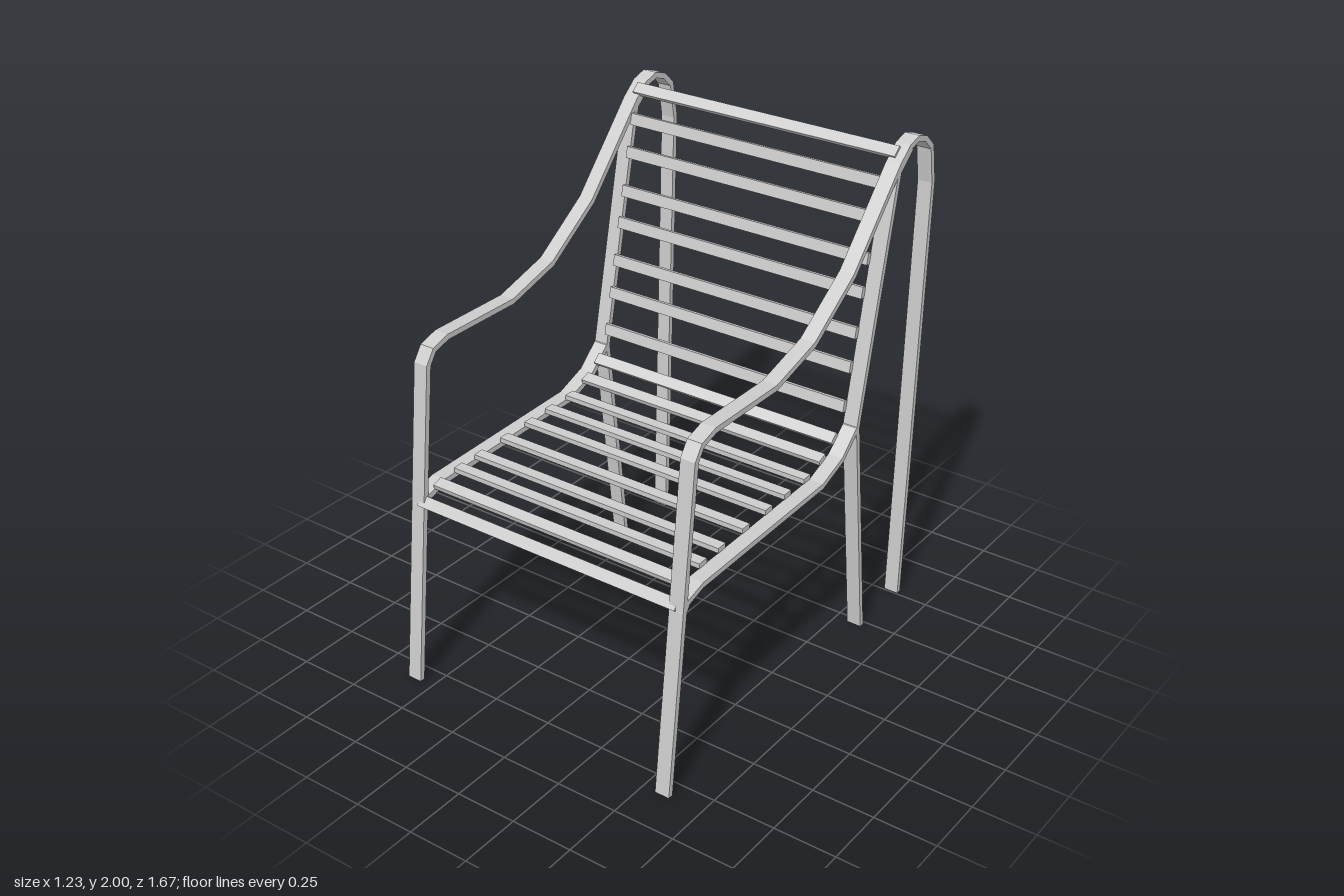
import * as THREE from 'three';

const THICK = 0.022, WIDTH = 0.06, RAIL_X = 0.585;
const material = new THREE.MeshStandardMaterial({ color: 0xcccccc });

// Side profiles as [z, y] centre lines
const framePath = [[0.825, 0], [0.68, 1.29], [0.645, 1.34], [0.57, 1.363], [0.205, 1.363], [-0.035, 1.43],
  [-0.285, 1.6], [-0.575, 1.92], [-0.637, 1.972], [-0.695, 1.989], [-0.75, 1.972], [-0.80, 1.925],
  [-0.825, 1.78], [-0.767, 0]];
const railPath = [[0.745, 0.73], [0.72, 0.765], [0.635, 0.79], [-0.13, 0.81], [-0.265, 0.86],
  [-0.365, 0.95], [-0.57, 1.9], [-0.648, 1.967]];
const rearLegPath = [[-0.363, 0.955], [-0.475, 0]];

// Flat bar bent along a path, with mitred corners
function bentBar(path) {
  const pts = path.map(([z, y]) => new THREE.Vector2(z, y));
  const left = [], right = [];
  pts.forEach((p, i) => {
    const a = p.clone().sub(pts[Math.max(i - 1, 0)]).normalize();
    const b = pts[Math.min(i + 1, pts.length - 1)].clone().sub(p).normalize();
    const t = a.clone().add(b).normalize();
    const n = new THREE.Vector2(-t.y, t.x);
    const ref = i ? a : b;
    const miter = THICK / 2 / (n.x * -ref.y + n.y * ref.x);
    for (const [side, s] of [[left, 1], [right, -1]]) {
      const q = p.clone().addScaledVector(n, s * miter);
      if (p.y === 0) q.y = 0; // feet are cut level with the floor
      side.push(q);
    }
  });
  const shape = new THREE.Shape([...left, ...right.reverse()]);
  const geo = new THREE.ExtrudeGeometry(shape, { depth: WIDTH, bevelEnabled: false });
  return geo.translate(0, 0, -WIDTH / 2).rotateY(-Math.PI / 2);
}

// Point lying on the rail's upper face where coordinate `axis` (0 = z, 1 = y) equals v
function onRail(axis, v) {
  let i = 0;
  while (i < railPath.length - 2 && (railPath[i + 1][axis] - v) * (axis ? 1 : -1) < 0) i++;
  const [a, b] = [railPath[i], railPath[i + 1]];
  const t = (v - a[axis]) / (b[axis] - a[axis]);
  const dz = b[0] - a[0], dy = b[1] - a[1], len = Math.hypot(dz, dy);
  return {
    z: a[0] + dz * t + (dy / len) * 0.021,
    y: a[1] + dy * t - (dz / len) * 0.021,
    angle: Math.atan2(dy, -dz),
  };
}

export function createModel() {
  const chair = new THREE.Group();
  chair.name = 'slattedArmchair';

  // Side frames, seat rails and inner rear legs, mirrored
  const bars = { armFrame: framePath, seatAndBackRail: railPath, rearLeg: rearLegPath };
  for (const [name, path] of Object.entries(bars)) {
    const geo = bentBar(path);
    for (const s of [1, -1]) {
      const bar = new THREE.Mesh(geo, material);
      bar.name = (s > 0 ? 'left_' : 'right_') + name;
      bar.position.x = s * RAIL_X;
      chair.add(bar);
    }
  }

  const addSlat = (name, { z, y, angle }, length = 1.114) => {
    const slat = new THREE.Mesh(new THREE.BoxGeometry(length, 0.02, 0.045), material);
    slat.name = name;
    slat.position.set(0, y, z);
    slat.rotation.x = angle;
    chair.add(slat);
  };

  // Seat slats by depth, back slats by height
  [0.665, 0.555, 0.44, 0.29, 0.145, 0.02, -0.11, -0.222].forEach((z, i) =>
    addSlat('seatSlat' + (i + 1), onRail(0, z)));
  [0.90, 1.02, 1.17, 1.30, 1.45, 1.575, 1.725, 1.853].forEach((y, i) =>
    addSlat('backSlat' + (i + 1), onRail(1, y)));

  // Longer end slats fixed across the frames
  addSlat('frontEdgeSlat', { z: 0.74, y: 0.752, angle: 0.95 }, 1.165);
  addSlat('topSlat', { z: -0.602, y: 1.957, angle: 0.72 }, 1.165);
  return chair;
}
